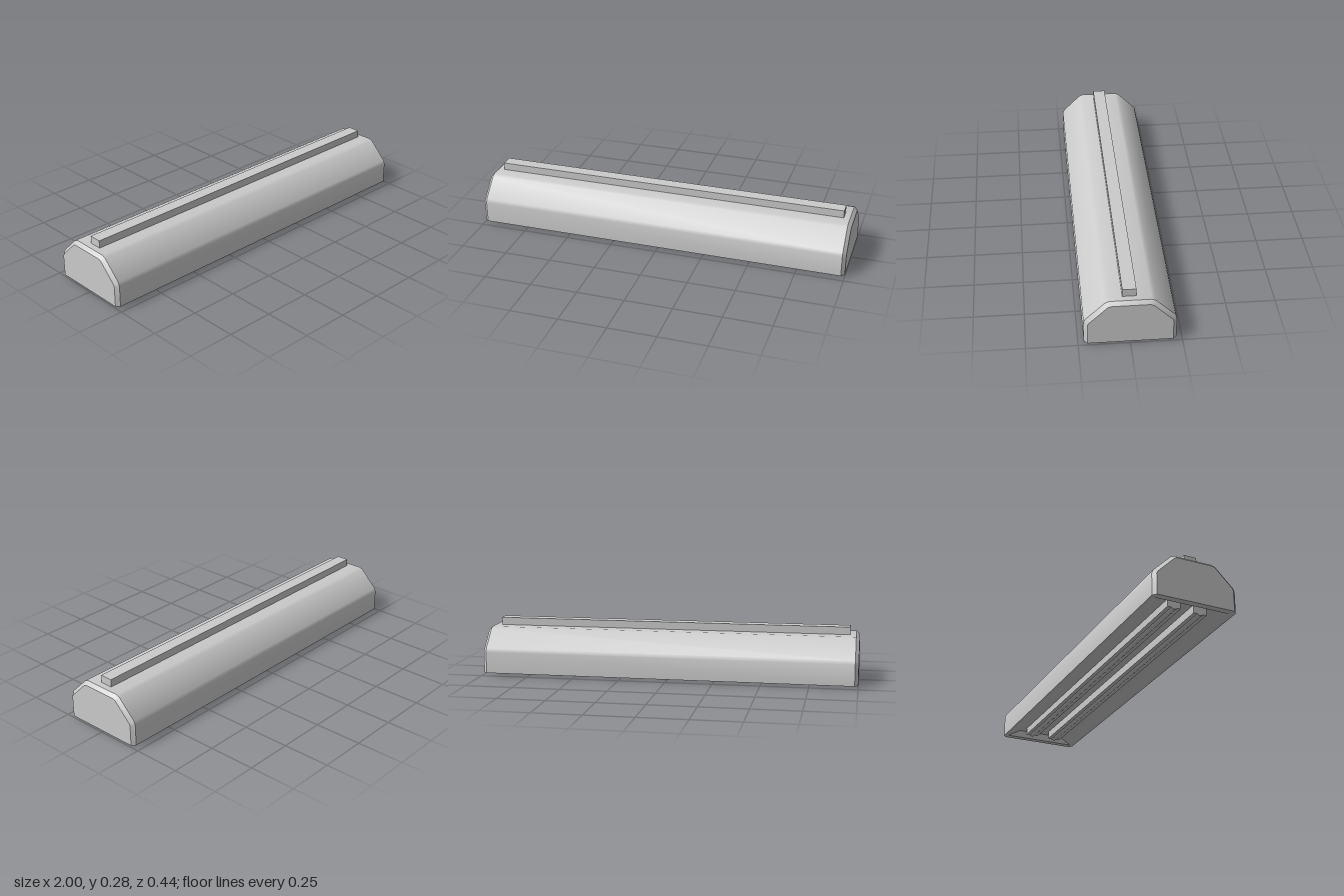
import * as THREE from 'three';
import { toCreasedNormals } from 'three/addons/utils/BufferGeometryUtils.js';

const material = new THREE.MeshStandardMaterial({ color: 0xcccccc, side: THREE.DoubleSide });
const BASE = 0.01;

function add(group, name, geometry, x = 0, y = 0, z = 0) {
  const mesh = new THREE.Mesh(geometry, material);
  mesh.name = name;
  mesh.position.set(x, y, z);
  group.add(mesh);
  return mesh;
}

// Skin between successive sections (arrays of Vector3), optionally closed and capped by fans
function loft(sections, { closed = false, capStart = false, capEnd = false } = {}) {
  const points = [];
  const tri = (a, b, c) => points.push(a, b, c);
  const n = sections[0].length;
  for (let s = 0; s + 1 < sections.length; s++) {
    const a = sections[s], b = sections[s + 1];
    for (let i = 0; i < (closed ? n : n - 1); i++) {
      const j = (i + 1) % n;
      tri(a[i], b[i], b[j]);
      tri(a[i], b[j], a[j]);
    }
  }
  const first = sections[0], last = sections[sections.length - 1];
  for (let i = 1; i + 1 < n; i++) {
    if (capStart) tri(first[0], first[i], first[i + 1]);
    if (capEnd) tri(last[0], last[i + 1], last[i]);
  }
  const geometry = new THREE.BufferGeometry().setFromPoints(points);
  geometry.computeVertexNormals();
  return toCreasedNormals(geometry, 0.6);
}

// Half profiles [z, y] of the housing, mirrored into a full arch from front to back
const arch = (half, x) => [
  ...half.map(([z, y]) => new THREE.Vector3(x, y, z)),
  ...half.slice().reverse().map(([z, y]) => new THREE.Vector3(x, y, -z)),
];
const outer = [[0.222, BASE], [0.222, 0.124], [0.215, 0.143], [0.12, 0.237], [0.1, 0.245]];
const inset = [[0.205, BASE], [0.205, 0.119], [0.2, 0.131], [0.11, 0.221], [0.096, 0.228]];

const rectangle = (x, y, z) => [[x, z], [x, -z], [-x, -z], [-x, z]]
  .map(([px, pz]) => new THREE.Vector3(px, y, pz));

export function createModel() {
  const model = new THREE.Group();
  model.name = 'lightFixture';

  // Housing with chamfered ends
  add(model, 'housing', loft(
    [arch(inset, 1), arch(outer, 0.982), arch(outer, -0.982), arch(inset, -1)],
    { capStart: true, capEnd: true }));

  // Flat rim around the opening underneath
  const rim = new THREE.Shape([
    [1, 0.205], [0.982, 0.222], [-0.982, 0.222], [-1, 0.205],
    [-1, -0.205], [-0.982, -0.222], [0.982, -0.222], [1, -0.205],
  ].map(([x, z]) => new THREE.Vector2(x, z)));
  rim.holes.push(new THREE.Path(
    rectangle(0.965, 0, 0.2).map((p) => new THREE.Vector2(p.x, p.z))));
  add(model, 'bottomRim', new THREE.ShapeGeometry(rim).rotateX(Math.PI / 2), 0, BASE, 0);

  // Shallow reflector tray with sloping long sides
  add(model, 'reflector', loft(
    [rectangle(0.965, BASE, 0.2), rectangle(0.96, 0.05, 0.13)],
    { closed: true, capEnd: true }));

  // Two lamp channels, each with a slim tube along its underside
  for (const [side, z, bottom] of [['front', 0.07, 0.008], ['back', -0.07, 0.012]]) {
    add(model, side + 'LampChannel', new THREE.BoxGeometry(1.82, 0.05 - bottom, 0.07),
      0, (0.05 + bottom) / 2, z);
    const tube = new THREE.CylinderGeometry(0.018, 0.018, 1.82, 20).rotateZ(Math.PI / 2);
    add(model, side + 'LampTube', tube, 0, bottom + 0.01, z);
  }

  // Mounting rail on top
  add(model, 'mountingRail', new THREE.BoxGeometry(1.9, 0.045, 0.067), 0, 0.2625, 0.003);

  return model;
}
